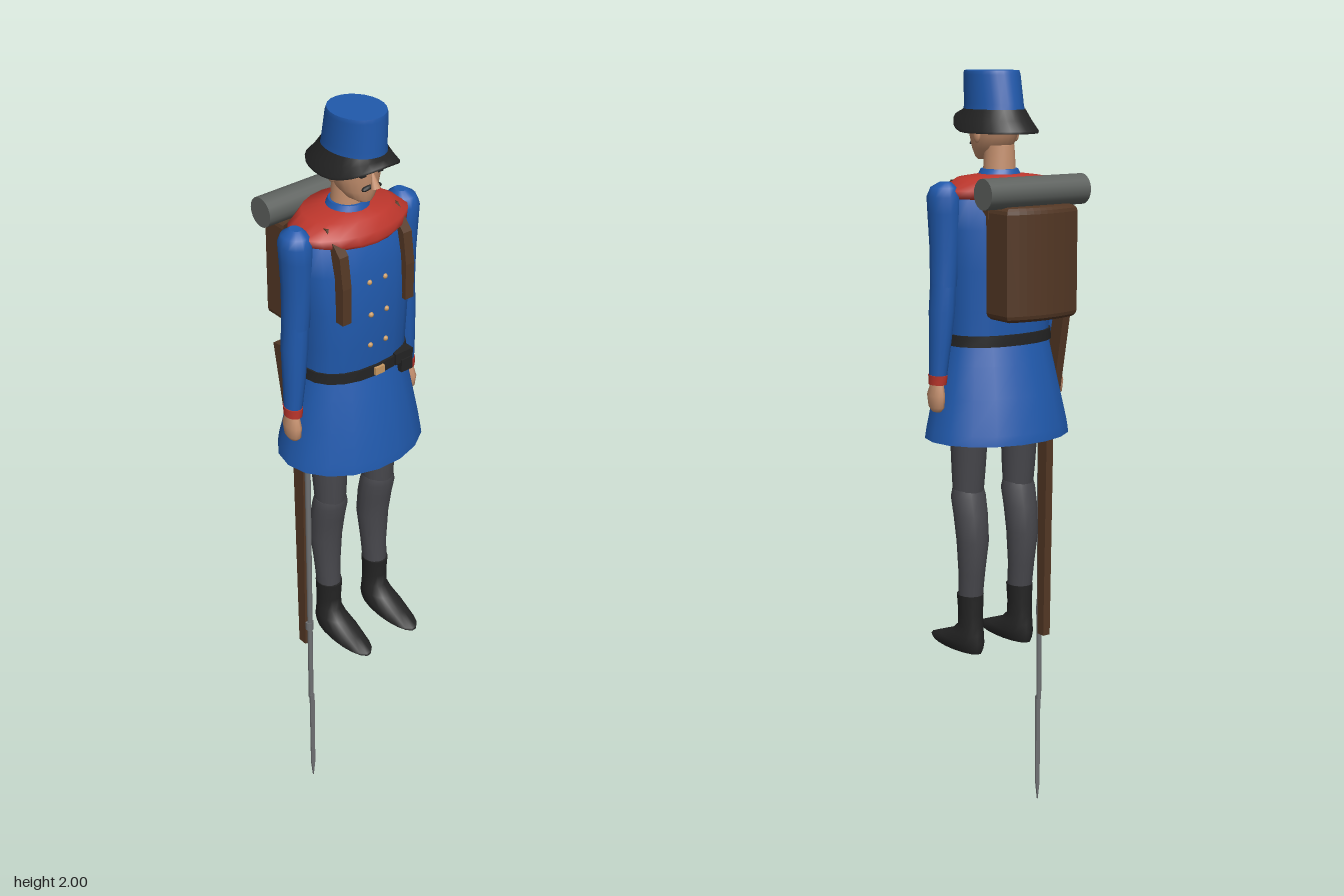
import * as THREE from 'three';

const mat = (name, color) => {
  const m = new THREE.MeshStandardMaterial({ color, side: THREE.DoubleSide });
  m.name = name;
  return m;
};

// Skin a stack of rings, bottom to top: [y, rx, rz, cz, cx, frontLift]
function loft(rings, { n = 20, p = 1, caps = true } = {}) {
  const pos = [], idx = [];
  const pow = (v) => Math.sign(v) * Math.abs(v) ** p;
  const addRing = ([y, rx, rz, cz = 0, cx = 0, lift = 0]) => {
    const start = pos.length / 3;
    for (let i = 0; i < n; i++) {
      const a = (i / n) * Math.PI * 2, s = Math.sin(a);
      pos.push(cx + rx * pow(Math.cos(a)), y + lift * Math.max(0, s) ** 2, cz + rz * pow(s));
    }
    return start;
  };
  rings.forEach(addRing);
  for (let j = 0; j < rings.length - 1; j++) {
    for (let i = 0; i < n; i++) {
      const a = j * n + i, b = j * n + (i + 1) % n;
      idx.push(a, a + n, b, b, a + n, b + n);
    }
  }
  if (caps) {
    [rings[0], rings[rings.length - 1]].forEach((r, top) => {
      const s = addRing(r), c = pos.length / 3;
      pos.push(r[4] || 0, r[0], r[3] || 0);
      for (let i = 0; i < n; i++) {
        const a = s + i, b = s + (i + 1) % n;
        top ? idx.push(c, b, a) : idx.push(c, a, b);
      }
    });
  }
  const g = new THREE.BufferGeometry();
  g.setAttribute('position', new THREE.Float32BufferAttribute(pos, 3));
  g.setIndex(idx);
  g.computeVertexNormals();
  return g;
}

// Side profile given as [z, y] points, extruded across x
function sideProfile(points, width, x) {
  const shape = new THREE.Shape(points.map(([z, y]) => new THREE.Vector2(z, y)));
  return new THREE.ExtrudeGeometry(shape, { depth: width, bevelEnabled: false })
    .rotateY(-Math.PI / 2).translate(x + width / 2, 0, 0);
}

export function createModel() {
  const blue = mat('coat blue', 0x2059ac), red = mat('collar red', 0xbd362c);
  const black = mat('leather black', 0x242424), skin = mat('skin', 0xc6916f);
  const brown = mat('brown leather', 0x543825), grey = mat('trouser grey', 0x48484d);
  const felt = mat('blanket grey', 0x5e625f), brass = mat('brass', 0xc99a63);
  const steel = mat('steel', 0x707274);

  const model = new THREE.Group();
  model.name = 'soldier';
  const add = (name, geo, material, x = 0, y = 0, z = 0) => {
    const m = new THREE.Mesh(geo, material);
    m.name = name;
    m.position.set(x, y, z);
    model.add(m);
    return m;
  };

  // Coat
  add('torso', loft([
    [1.33, 0.143, 0.098, 0.018], [1.42, 0.145, 0.102, 0.02], [1.52, 0.15, 0.104, 0.02],
    [1.62, 0.158, 0.1, 0.015], [1.69, 0.155, 0.085, 0.012], [1.725, 0.12, 0.07, 0.005],
    [1.745, 0.05, 0.045, 0.002]], { p: 0.85 }), blue);
  add('coatSkirt', loft([
    [1.085, 0.2, 0.16, 0.015], [1.11, 0.196, 0.157, 0.015], [1.2, 0.176, 0.138, 0.017],
    [1.28, 0.159, 0.117, 0.018], [1.34, 0.146, 0.1, 0.018]], { n: 18, caps: false }), blue);
  add('cape', loft([
    [1.685, 0.122, 0.092, 0.02], [1.695, 0.155, 0.102, 0.014], [1.715, 0.165, 0.103, 0.008],
    [1.742, 0.115, 0.092, 0], [1.75, 0.055, 0.05, 0]]), red);
  add('standingCollar', loft([[1.735, 0.062, 0.058, 0.005], [1.762, 0.046, 0.048, 0.005]]), blue);

  // Belt with buckle and pouch
  add('belt', loft([[1.328, 0.151, 0.107, 0.018], [1.356, 0.149, 0.107, 0.018]], { p: 0.9 }), black);
  add('buckle', new THREE.BoxGeometry(0.028, 0.02, 0.009), brass, 0, 1.343, 0.127);
  add('pouch', new THREE.BoxGeometry(0.055, 0.03, 0.025), black, 0.083, 1.346, 0.112);
  add('pouchBody', new THREE.BoxGeometry(0.035, 0.035, 0.025), black, 0.09, 1.322, 0.115);

  // Buttons
  const buttonZ = { 1.59: 0.115, 1.505: 0.122, 1.42: 0.12 };
  for (const y of [1.59, 1.505, 1.42]) {
    for (const s of [-1, 1]) {
      add('button', new THREE.SphereGeometry(0.007, 10, 8), brass, s * 0.024, y, buttonZ[y]);
    }
  }

  // Head
  add('neck', loft([[1.73, 0.042, 0.042, 0.004], [1.82, 0.037, 0.04, 0.006]]), skin);
  add('head', loft([
    [1.782, 0.02, 0.018, 0.065], [1.79, 0.034, 0.036, 0.05], [1.81, 0.047, 0.056, 0.036],
    [1.84, 0.056, 0.066, 0.03], [1.87, 0.06, 0.072, 0.026], [1.91, 0.062, 0.075, 0.025]]), skin);
  const nose = add('nose', new THREE.ConeGeometry(0.012, 0.045, 8), skin, 0, 1.845, 0.1);
  nose.rotation.x = -0.3;
  for (const s of [-1, 1]) {
    add('eye', new THREE.BoxGeometry(0.016, 0.007, 0.008), black, s * 0.025, 1.857, 0.09);
    add('eyebrow', new THREE.BoxGeometry(0.024, 0.005, 0.009), black, s * 0.026, 1.871, 0.091);
    const half = add('moustache', new THREE.SphereGeometry(1, 10, 8), black, s * 0.013, 1.824, 0.092);
    half.scale.set(0.017, 0.006, 0.008);
    half.rotation.z = -s * 0.25;
    const ear = add('ear', new THREE.SphereGeometry(1, 10, 8), skin, s * 0.059, 1.845, 0.018);
    ear.scale.set(0.007, 0.02, 0.013);
  }
  add('lips', new THREE.BoxGeometry(0.02, 0.005, 0.008), red, 0, 1.811, 0.086);

  // Hat
  add('hatCrown', loft([
    [1.89, 0.07, 0.092, 0.027], [1.92, 0.066, 0.088, 0.029], [1.99, 0.067, 0.079, 0.037],
    [2.0, 0.065, 0.076, 0.038]], { n: 24 }), blue);
  add('hatBrim', loft([
    [1.85, 0.091, 0.131, 0.021, 0, 0.045], [1.856, 0.091, 0.132, 0.021, 0, 0.045],
    [1.88, 0.081, 0.11, 0.024, 0, 0.025], [1.907, 0.069, 0.092, 0.027]],
  { n: 28, caps: false }), black);

  for (const s of [-1, 1]) {
    const side = s > 0 ? 'left' : 'right';
    // Arm, cuff and hand
    add(side + 'UpperArm', loft([
      [1.48, 0.032, 0.038, 0.012, s * 0.166], [1.58, 0.036, 0.041, 0.013, s * 0.162],
      [1.66, 0.04, 0.045, 0.013, s * 0.162], [1.7, 0.04, 0.046, 0.013, s * 0.164],
      [1.722, 0.032, 0.037, 0.012, s * 0.163], [1.735, 0.014, 0.017, 0.01, s * 0.16]], { n: 14 }), blue);
    add(side + 'Forearm', loft([
      [1.25, 0.021, 0.026, 0.016, s * 0.182], [1.32, 0.026, 0.031, 0.015, s * 0.177],
      [1.42, 0.032, 0.037, 0.012, s * 0.171], [1.5, 0.03, 0.037, 0.012, s * 0.167]], { n: 14 }), blue);
    add(side + 'Cuff', loft([
      [1.233, 0.021, 0.027, 0.017, s * 0.183], [1.257, 0.023, 0.029, 0.016, s * 0.182]], { n: 14 }), red);
    add(side + 'Hand', loft([
      [1.163, 0.009, 0.016, 0.018, s * 0.186], [1.175, 0.016, 0.028, 0.018, s * 0.186],
      [1.205, 0.018, 0.032, 0.018, s * 0.187], [1.238, 0.015, 0.02, 0.016, s * 0.185]], { n: 12 }), skin);

    // Leg and boot
    const x = s * 0.08;
    add(side + 'Thigh', loft([
      [0.925, 0.04, 0.04, 0.033, x], [0.99, 0.044, 0.045, 0.031, x],
      [1.09, 0.048, 0.052, 0.028, x], [1.2, 0.052, 0.06, 0.022, x]], { n: 16 }), grey);
    add(side + 'Shin', loft([
      [0.64, 0.031, 0.034, 0.025, x], [0.72, 0.035, 0.036, 0.018, x], [0.81, 0.043, 0.043, 0.013, x],
      [0.88, 0.046, 0.044, 0.022, x], [0.925, 0.047, 0.044, 0.032, x],
      [0.945, 0.042, 0.04, 0.033, x]], { n: 16 }), grey);
    add(side + 'Boot', loft([
      [0.502, 0.035, 0.105, 0.089, x], [0.511, 0.041, 0.107, 0.088, x], [0.53, 0.042, 0.083, 0.063, x],
      [0.552, 0.036, 0.053, 0.037, x], [0.575, 0.031, 0.038, 0.024, x],
      [0.61, 0.031, 0.036, 0.024, x], [0.66, 0.034, 0.038, 0.025, x]], { n: 18 }), black);

    // Pack strap over the chest and shoulder
    add(side + 'Strap', sideProfile([
      [0.09, 1.505], [0.122, 1.505], [0.122, 1.6], [0.11, 1.68], [0.06, 1.735], [-0.04, 1.735],
      [-0.1, 1.68], [-0.1, 1.65], [-0.04, 1.7], [0.05, 1.7], [0.085, 1.65]], 0.026, s * 0.097), brown);
  }

  // Backpack with bowed back, and bedroll on top
  const outline = new THREE.Shape();
  outline.moveTo(-0.09, 0.106);
  outline.lineTo(0.09, 0.106);
  outline.lineTo(0.09, 0.163);
  outline.quadraticCurveTo(0, 0.193, -0.09, 0.163);
  const pack = new THREE.ExtrudeGeometry(outline, {
    depth: 0.246, bevelEnabled: true, bevelSize: 0.017, bevelThickness: 0.017, bevelSegments: 3, curveSegments: 10,
  }).rotateX(-Math.PI / 2);
  add('backpack', pack, brown, 0, 1.419, 0);
  add('bedroll', new THREE.CylinderGeometry(0.038, 0.038, 0.3, 20).rotateZ(Math.PI / 2), felt, 0, 1.714, -0.136);

  // Rifle carried muzzle down
  const rx = -0.167;
  add('rifleStock', sideProfile([
    [0.018, 0.495], [0.044, 0.495], [0.046, 1.08], [0.028, 1.17], [-0.012, 1.41],
    [-0.062, 1.4], [-0.02, 1.18], [0.008, 1.06]], 0.022, rx), brown);
  add('rifleBarrel', new THREE.CylinderGeometry(0.008, 0.007, 0.82, 10), steel, rx, 0.71, 0.051);
  add('barrelBand', new THREE.CylinderGeometry(0.011, 0.011, 0.025, 10), steel, rx, 0.56, 0.049);
  const blade = new THREE.Shape([[-0.007, 0.31], [-0.006, 0.05], [0, 0], [0.006, 0.05], [0.007, 0.31]]
    .map(([u, v]) => new THREE.Vector2(u, v)));
  add('bayonet', new THREE.ExtrudeGeometry(blade, { depth: 0.005, bevelEnabled: false }), steel, rx, 0, 0.053);

  return model;
}
